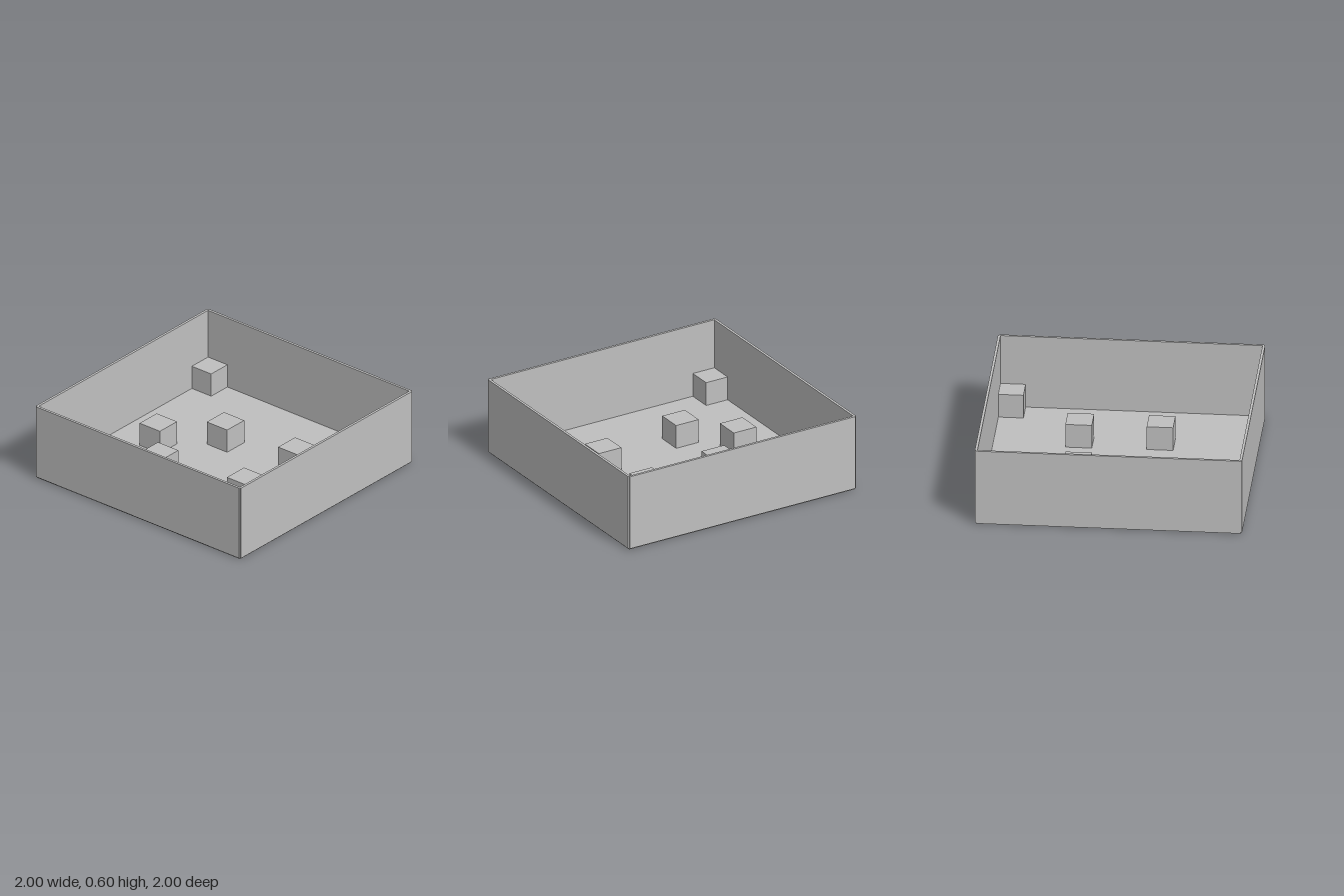
import * as THREE from 'three';

const T = 0.0198;    // thickness of floor and walls
const SPAN = 1.98;   // length of floor and walls
const WALL_H = 0.594;
const CUBE = 0.198;
const BASE = T / 2;  // walls and cubes start at mid floor thickness

export function createModel() {
  const group = new THREE.Group();
  const grey = new THREE.MeshStandardMaterial({ color: 0xbfbfbf });
  grey.name = 'lightGrey';

  // Box standing on height y
  const addBox = (name, w, h, d, x, y, z) => {
    const mesh = new THREE.Mesh(new THREE.BoxGeometry(w, h, d), grey);
    mesh.name = name;
    mesh.position.set(x, y + h / 2, z);
    group.add(mesh);
  };

  // Floor slab
  addBox('floor', SPAN, T, SPAN, 0, 0, 0);

  // Four walls centred on the floor edges, leaving small corner notches
  for (const s of [1, -1]) {
    addBox(s > 0 ? 'leftWall' : 'rightWall', T, WALL_H, SPAN, s * SPAN / 2, BASE, 0);
    addBox(s > 0 ? 'frontWall' : 'backWall', SPAN, WALL_H, T, 0, BASE, s * SPAN / 2);
  }

  // Cubes in three corners
  const c = (SPAN - CUBE) / 2;
  for (const [sx, sz] of [[-1, -1], [1, -1], [-1, 1]]) {
    addBox('cornerCube', CUBE, CUBE, CUBE, sx * c, BASE, sz * c);
  }

  // Cubes scattered over the floor
  const spots = [[-0.235, -0.297], [0.424, -0.338], [-0.606, 0.041], [-0.309, 0.378], [0.437, 0.269]];
  for (const [x, z] of spots) addBox('floorCube', CUBE, CUBE, CUBE, x, BASE, z);

  return group;
}
